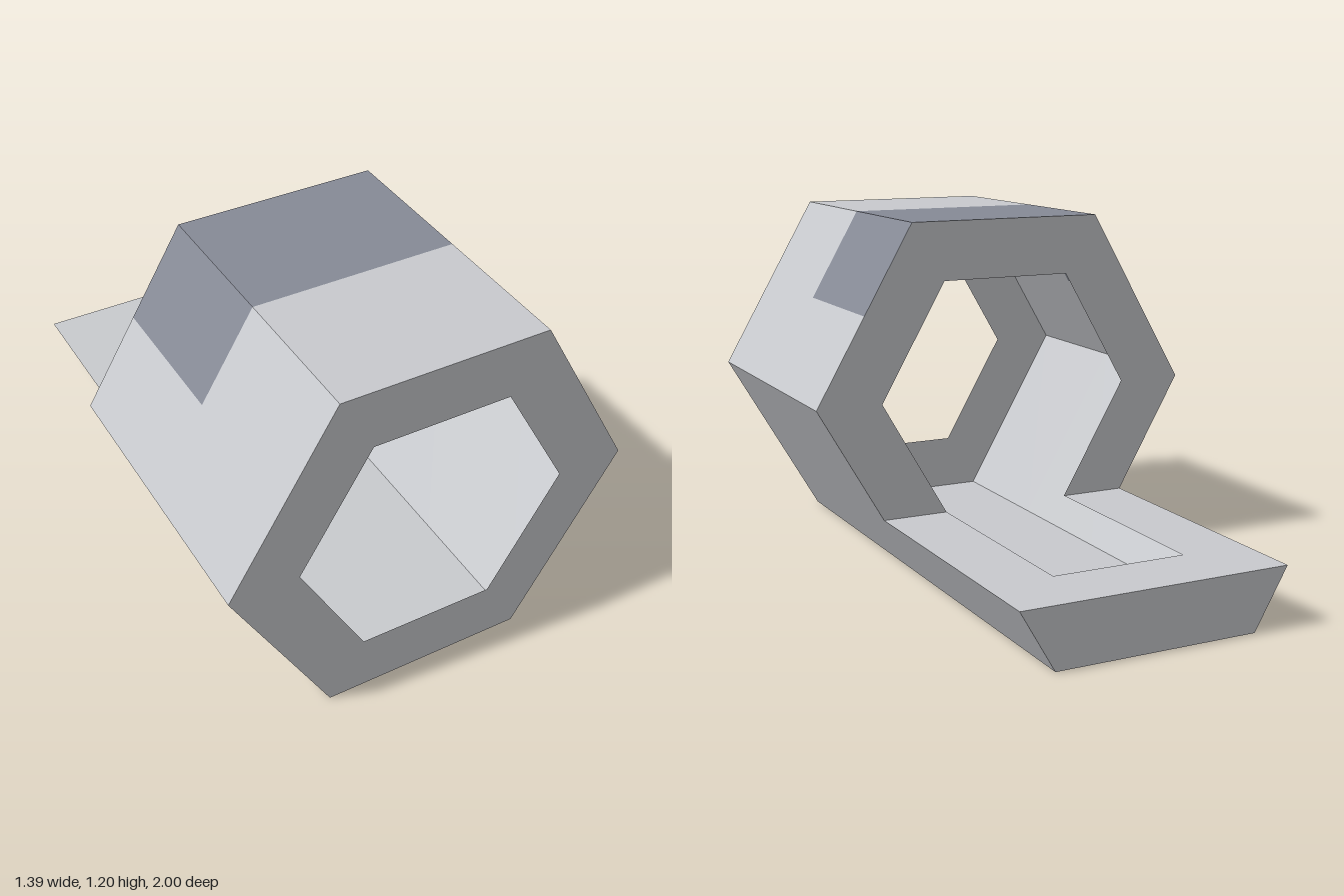
import * as THREE from 'three';

const shellGrey = new THREE.MeshStandardMaterial({ color: 0xc8cace, side: THREE.DoubleSide });
shellGrey.name = 'light grey';
const patchGrey = new THREE.MeshStandardMaterial({ color: 0x868a96, side: THREE.DoubleSide });
patchGrey.name = 'slate grey';

const CY = 0.6;                       // height of the tube axis
const R = 0.6 / Math.cos(Math.PI / 6); // outer hexagon corner radius
const r = 0.4 / Math.cos(Math.PI / 6); // opening corner radius

// Hexagon corners, counterclockwise from the bottom right
const hexagon = (radius) => Array.from({ length: 6 }, (_, i) => {
  const a = (i - 1) * Math.PI / 3;
  return [radius * Math.cos(a), CY + radius * Math.sin(a)];
});

// Thin wall that follows a counterclockwise xy profile from z0 to z1
function wall(profile, z0, z1) {
  const pos = [];
  for (let i = 0; i < profile.length - 1; i++) {
    const [ax, ay] = profile[i], [bx, by] = profile[i + 1];
    pos.push(ax, ay, z1, ax, ay, z0, bx, by, z0);
    pos.push(ax, ay, z1, bx, by, z0, bx, by, z1);
  }
  const g = new THREE.BufferGeometry();
  g.setAttribute('position', new THREE.Float32BufferAttribute(pos, 3));
  g.computeVertexNormals();
  return g;
}

const outline = (pts) => new THREE.Shape(pts.map(([x, y]) => new THREE.Vector2(x, y)));

export function createModel() {
  const model = new THREE.Group();
  model.name = 'hollowHexagonalShell';
  const add = (name, geometry, material = shellGrey) => {
    const mesh = new THREE.Mesh(geometry, material);
    mesh.name = name;
    model.add(mesh);
  };

  const [o0, o1, o2, o3, o4, o5] = hexagon(R);
  const [i0, i1, i2, i3, i4, i5] = hexagon(r);
  const patchX = R * 0.75;                       // hexagon half width at y = 0.9
  const trayX = R * (0.5 + 0.5 / 3);             // hexagon half width at y = 0.2
  const pR = [patchX, 0.9], pL = [-patchX, 0.9];
  const tR = [trayX, 0.2], tL = [-trayX, 0.2];

  // Hexagonal tube, with the patch colouring the upper rear
  add('tubeFrontWalls', wall([o0, o1, o2, o3, o4, o5, o0], 0.5, 1));
  add('tubeRearWalls', wall([pL, o4, o5, o0, o1, pR], 0, 0.5));
  add('topPatch', wall([pR, o2, o3, pL], 0, 0.5), patchGrey);

  // Front ring around the open hexagonal mouth
  const front = outline([o0, o1, o2, o3, o4, o5]);
  front.holes.push(outline([i0, i1, i2, i3, i4, i5]));
  add('frontRing', new THREE.ShapeGeometry(front).translate(0, 0, 1));

  // Rear ring, stopping at the tray top
  const rear = outline([tR, o1, o2, o3, o4, tL, i5, i4, i3, i2, i1, i0]);
  add('rearRing', new THREE.ShapeGeometry(rear).rotateY(Math.PI));

  // Hollow tray, open to the tube
  add('trayWalls', wall([tL, o5, o0, tR], -1, 0));
  add('trayRearWall', new THREE.ShapeGeometry(outline([o5, o0, tR, tL]))
    .rotateY(Math.PI).translate(0, 0, -1));
  const w = r / 2, end = 0.77;
  const top = outline([[w, 0], [trayX, 0], [trayX, 1], [-trayX, 1], [-trayX, 0],
    [-w, 0], [-w, end], [w, end]]);
  add('trayTop', new THREE.ShapeGeometry(top).rotateX(-Math.PI / 2).translate(0, 0.2, 0));

  return model;
}
